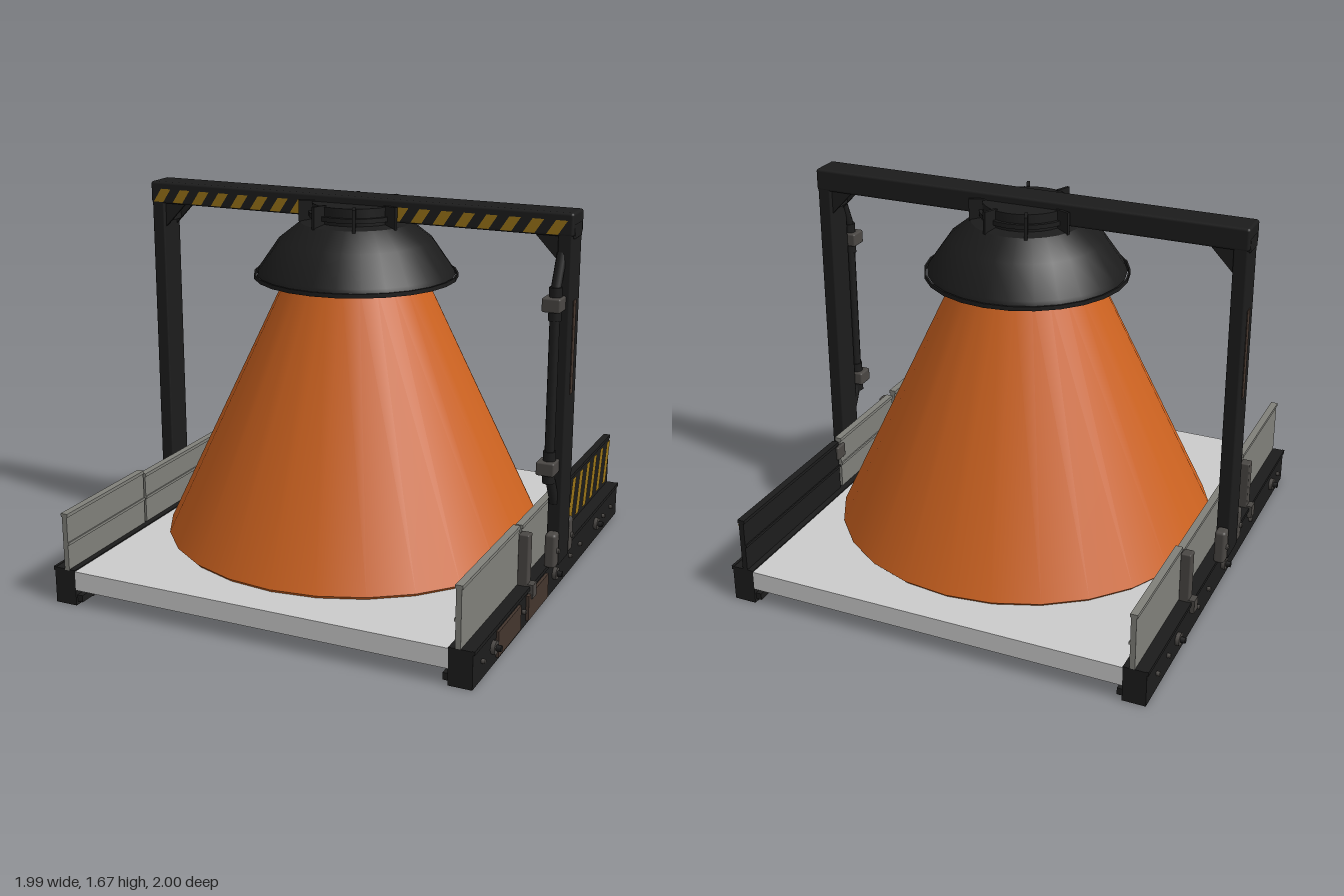
import * as THREE from 'three';
import { RoundedBoxGeometry } from 'three/addons/geometries/RoundedBoxGeometry.js';
import { toCreasedNormals } from 'three/addons/utils/BufferGeometryUtils.js';

const mat = (color, side = THREE.FrontSide) => new THREE.MeshStandardMaterial({ color, side });

export function createModel() {
  const root = new THREE.Group();
  const black = mat(0x1c1c1c), blackThin = mat(0x1c1c1c, THREE.DoubleSide);
  const deckGrey = mat(0xcccccc), panelGrey = mat(0x80807a), steel = mat(0x4a4744);
  const rust = mat(0x43352d), yellow = mat(0x9a7418, THREE.DoubleSide);
  const orange = mat(0xcc6220, THREE.DoubleSide);

  const add = (name, geo, material, x = 0, y = 0, z = 0, parent = root) => {
    const m = new THREE.Mesh(geo, material);
    m.name = name;
    m.position.set(x, y, z);
    parent.add(m);
    return m;
  };
  // Box given by its limits on each axis, optionally with rounded edges
  const box = (name, material, [x0, x1], [y0, y1], [z0, z1], r = 0) => {
    const s = [x1 - x0, y1 - y0, z1 - z0];
    const geo = r ? new RoundedBoxGeometry(...s, 2, r) : new THREE.BoxGeometry(...s);
    return add(name, geo, material, (x0 + x1) / 2, (y0 + y1) / 2, (z0 + z1) / 2);
  };
  // Same box on either side of the model
  const sideBox = (s, name, material, [a, b], ys, zs, r) =>
    box(name, material, s > 0 ? [a, b] : [-b, -a], ys, zs, r);
  const polygon = pts => new THREE.Shape(pts.map(p => new THREE.Vector2(...p)));
  const lathe = (pts, n, crease) =>
    toCreasedNormals(new THREE.LatheGeometry(pts.map(p => new THREE.Vector2(...p)), n), crease);
  // Row of slanted stripes filling a w by h strip, facing +z
  const stripes = (w, h, count, slant) => {
    const g = new THREE.Group(), pitch = w / count;
    for (let i = 0; i < count; i++) {
      const x = i * pitch, top = Math.min(x + slant + pitch * 0.5, w);
      add('hazardStripe', new THREE.ShapeGeometry(polygon([
        [x, 0], [x + pitch * 0.5, 0], [top, h], [Math.min(x + slant, w), h]])), yellow, 0, 0, 0, g);
    }
    g.name = 'hazardStripes';
    root.add(g);
    return g;
  };

  // Deck
  box('deck', deckGrey, [-0.845, 0.845], [0.07, 0.155], [-1, 1]);

  // Large cone with a stepped neck hidden under the hood
  add('cone', lathe([[0, 0.155], [0.83, 0.155], [0.845, 0.17], [0.3, 1.32], [0.262, 1.4],
    [0.262, 1.42], [0.235, 1.42], [0.235, 1.45], [0.205, 1.45], [0.19, 1.55]], 26, 0.5), orange);

  // Hood, its pale lining, loose rim ring and finned collar
  add('hood', lathe([[0.432, 1.325], [0.425, 1.345], [0.335, 1.475], [0.24, 1.55],
    [0.19, 1.56], [0.19, 1.635], [0, 1.635]], 26, 0.45), blackThin);
  add('hoodLining', lathe([[0.428, 1.325], [0.325, 1.47], [0.23, 1.54]], 26, 0.6),
    mat(0x8c8c86, THREE.DoubleSide));
  add('rimRing', lathe([[0.437, 1.312], [0.445, 1.312], [0.445, 1.33], [0.437, 1.33],
    [0.437, 1.312]], 26, 0.5), blackThin);
  add('collarBand', new THREE.CylinderGeometry(0.205, 0.205, 0.02, 26), black, 0, 1.585);
  for (let i = 0; i < 8; i++) {
    const a = (i + 0.5) * Math.PI / 4;
    const fin = add('collarFin', new THREE.BoxGeometry(0.07, 0.11, 0.014), black,
      0.212 * Math.cos(a), 1.585, 0.212 * Math.sin(a));
    fin.rotation.y = -a;
  }

  // Gantry: beam, posts, corner gussets
  box('beam', black, [-0.99, 0.99], [1.57, 1.668], [-0.07, 0.07], 0.012);
  for (const x of [-0.975, 0.185]) stripes(0.79, 0.06, 8, 0.04).position.set(x, 1.577, 0.0715);
  for (const s of [-1, 1]) {
    sideBox(s, 'post', black, [0.925, 0.985], [0.15, 1.6], [-0.068, 0.068], 0.008);
    for (const z of [-0.05, 0.038]) {
      add('gusset', new THREE.ExtrudeGeometry(
        polygon([[s * 0.93, 1.46], [s * 0.93, 1.575], [s * 0.82, 1.575]]),
        { depth: 0.012, bevelEnabled: false }), black, 0, 0, z);
    }
    sideBox(s, 'gussetPlate', black, [0.9, 0.93], [1.49, 1.575], [-0.05, 0.05]);
    sideBox(s, 'postInset', rust, [0.984, 0.988], [0.9, 1.3], [-0.017, 0.017]);
    sideBox(s, 'postCap', black, [0.965, 0.992], [1.56, 1.62], [-0.05, 0.05], 0.005);
  }

  // Side rails with flange, bolts, boxes and post feet
  const boltGeo = (r, l) => new THREE.CylinderGeometry(r, r, l, 12).rotateZ(Math.PI / 2);
  for (const s of [-1, 1]) {
    sideBox(s, 'rail', black, [0.845, 0.945], [0, 0.16], [-1, 1]);
    sideBox(s, 'railFlange', black, [0.82, 0.85], [0.015, 0.045], [-0.99, 0.99]);
    sideBox(s, 'railLip', black, [0.94, 0.952], [0.145, 0.162], [-1, 1]);
    for (const z of [-0.63, 0, 0.78]) {
      add('bolt', boltGeo(0.028, 0.02), steel, s * 0.952, 0.082, z);
      add('boltPin', boltGeo(0.013, 0.045), black, s * 0.96, 0.082, z);
    }
    for (const z of [-0.88, -0.75, -0.37, -0.22, 0.42, 0.9])
      add('smallBolt', boltGeo(0.01, 0.02), steel, s * 0.95, 0.078, z);
    for (let i = 0; i < 9; i++)
      add('flangeBolt', new THREE.CylinderGeometry(0.007, 0.007, 0.01, 8), steel,
        s * 0.832, 0.012, -0.9 + i * 0.225);
    for (const z of [-0.1, 0.1]) {
      sideBox(s, 'postFoot', steel, [0.935, 0.985], [0.155, 0.31], [z - 0.03, z + 0.03], 0.014);
      add('postFootBolt', boltGeo(0.012, 0.015), steel, s * 0.988, 0.23, z);
    }
  }
  box('railBox', rust, [0.94, 0.956], [0.02, 0.13], [0.47, 0.74]);
  box('railBox', rust, [0.94, 0.958], [0.02, 0.13], [0.12, 0.38]);

  // Side panels above the rails, each with a raised frame
  const panel = (s, material, [z0, z1], top) => {
    sideBox(s, 'sidePanel', material, [0.872, 0.895], [0.155, top], [z0, z1]);
    sideBox(s, 'panelTopEdge', material, [0.868, 0.9], [top - 0.015, top], [z0, z1]);
    sideBox(s, 'panelMidRib', material, [0.866, 0.874], [0.27, 0.282], [z0, z1]);
  };
  panel(1, panelGrey, [0.345, 1], 0.42);
  panel(1, panelGrey, [-0.19, 0.315], 0.41);
  panel(1, black, [-1, -0.21], 0.402);
  panel(-1, panelGrey, [0.41, 1], 0.41);
  panel(-1, panelGrey, [-0.445, 0.395], 0.39);
  panel(-1, panelGrey, [-1, -0.46], 0.41);
  const sideStripes = stripes(0.78, 0.195, 7, 0.055);
  sideStripes.rotation.y = Math.PI / 2;
  sideStripes.position.set(0.902, 0.183, -0.215);

  // Panel stakes and clamp
  for (const [s, z] of [[1, 0.33], [-1, 0.4], [-1, -0.45]]) {
    sideBox(s, 'panelStake', steel, [0.895, 0.94], [0.13, 0.385], [z - 0.024, z + 0.024], 0.006);
    sideBox(s, 'stakeFoot', steel, [0.935, 0.965], [0.11, 0.17], [z - 0.024, z + 0.024]);
  }
  box('panelClamp', steel, [0.86, 0.91], [0.315, 0.38], [-0.23, -0.165], 0.006);

  // Conduit along the left post, held by two clamps
  const path = new THREE.CurvePath();
  const pts = [[0.94, 1.5, 0.05], [0.935, 1.36, 0.1], [0.935, 0.58, 0.1], [0.95, 0.43, 0.055]]
    .map(p => new THREE.Vector3(...p));
  for (let i = 0; i < 3; i++) path.add(new THREE.LineCurve3(pts[i], pts[i + 1]));
  add('conduit', new THREE.TubeGeometry(path, 40, 0.022, 8), black);
  for (const y of [0.6, 1.3]) {
    box('conduitClamp', steel, [0.89, 0.97], [y - 0.03, y + 0.03], [0.065, 0.145], 0.008);
    add('conduitSleeve', new THREE.CylinderGeometry(0.027, 0.027, 0.14, 10), black, 0.935, y, 0.1);
  }
  return root;
}
